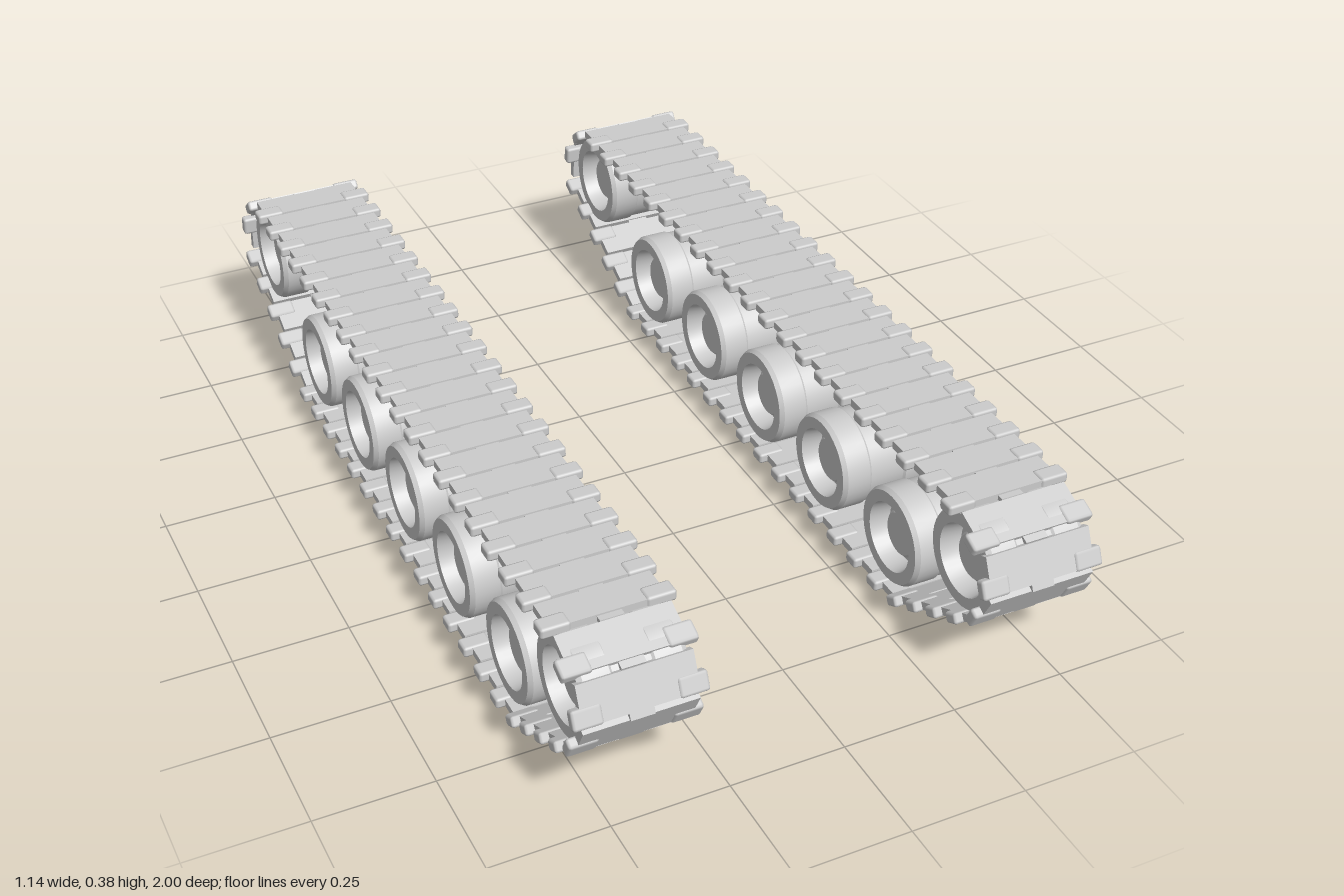
import * as THREE from 'three';
import { mergeGeometries, toCreasedNormals } from 'three/addons/utils/BufferGeometryUtils.js';
import { RoundedBoxGeometry } from 'three/addons/geometries/RoundedBoxGeometry.js';

const material = new THREE.MeshStandardMaterial({ color: 0xcccccc });
const TRACK_X = 0.4325;
const PITCH = 0.0835;

// Centre line of the track as [z, y, number of links up to the next corner]
const PATH = [
  [0.855, 0.373, 21],
  [-0.905, 0.373, 1],
  [-0.98, 0.312, 1],
  [-0.988, 0.2, 5],
  [-0.62, 0.012, 15],
  [0.66, 0.012, 4],
  [0.945, 0.165, 1],
  [0.988, 0.25, 1],
  [0.95, 0.333, 1],
];

// Wheel centres as [z, y]
const ROAD_WHEELS = [0.61, 0.315, 0.03, -0.255, -0.54].map((z) => [z, 0.135]);
const END_WHEELS = [[0.87, 0.258], [-0.86, 0.258]];

// One link: a flat plate, a connector on each end and a small middle hinge
function linkGeometry() {
  const plate = new THREE.BoxGeometry(0.237, 0.017, PITCH - 0.008).toNonIndexed();
  const hinge = new THREE.BoxGeometry(0.05, 0.01, 0.02).toNonIndexed();
  hinge.translate(0, 0, -PITCH / 2);
  const connectors = [-1, 1].map((s) => {
    const g = new RoundedBoxGeometry(0.062, 0.024, 0.038, 1, 0.006);
    g.translate(s * 0.107, 0, -PITCH / 2 + 0.02);
    return g.index ? g.toNonIndexed() : g;
  });
  return mergeGeometries([plate, hinge, ...connectors]);
}

// Wheel turned about the x axis, with a dished face and hub on both sides
function wheelGeometry() {
  const half = [
    [0, 0.085], [0.047, 0.085], [0.052, 0.08], [0.052, 0.065],
    [0.07, 0.065], [0.078, 0.11], [0.104, 0.11], [0.11, 0.1], [0.11, 0.045],
    [0.106, 0.04],
  ];
  const lower = half.map(([r, h]) => new THREE.Vector2(r, -h));
  const upper = half.map(([r, h]) => new THREE.Vector2(r, h)).reverse();
  const g = new THREE.LatheGeometry([...lower, ...upper], 36);
  g.rotateZ(-Math.PI / 2);
  return toCreasedNormals(g, 0.5);
}

function buildTrack(link) {
  const track = new THREE.Group();
  track.name = 'trackBelt';
  PATH.forEach(([z0, y0, count], i) => {
    const [z1, y1] = PATH[(i + 1) % PATH.length];
    const pitch = Math.hypot(z1 - z0, y1 - y0) / count;
    for (let k = 0; k < count; k++) {
      const t = (k + 0.5) / count;
      const mesh = new THREE.Mesh(link, material);
      mesh.name = 'trackLink';
      mesh.position.set(0, y0 + (y1 - y0) * t, z0 + (z1 - z0) * t);
      mesh.rotation.x = Math.atan2(y0 - y1, z1 - z0);
      mesh.scale.z = Math.min(pitch / PITCH, 1.12);
      track.add(mesh);
    }
  });
  return track;
}

export function createModel() {
  const model = new THREE.Group();
  model.name = 'trackPair';
  const link = linkGeometry();
  const wheel = wheelGeometry();

  for (const side of [1, -1]) {
    const assembly = new THREE.Group();
    assembly.name = side > 0 ? 'leftTrack' : 'rightTrack';
    assembly.position.x = side * TRACK_X;
    assembly.add(buildTrack(link));

    const addWheels = (name, centres) => centres.forEach(([z, y]) => {
      const mesh = new THREE.Mesh(wheel, material);
      mesh.name = name;
      mesh.position.set(0, y, z);
      assembly.add(mesh);
    });
    addWheels('roadWheel', ROAD_WHEELS);
    addWheels('endWheel', END_WHEELS);
    model.add(assembly);
  }
  return model;
}
